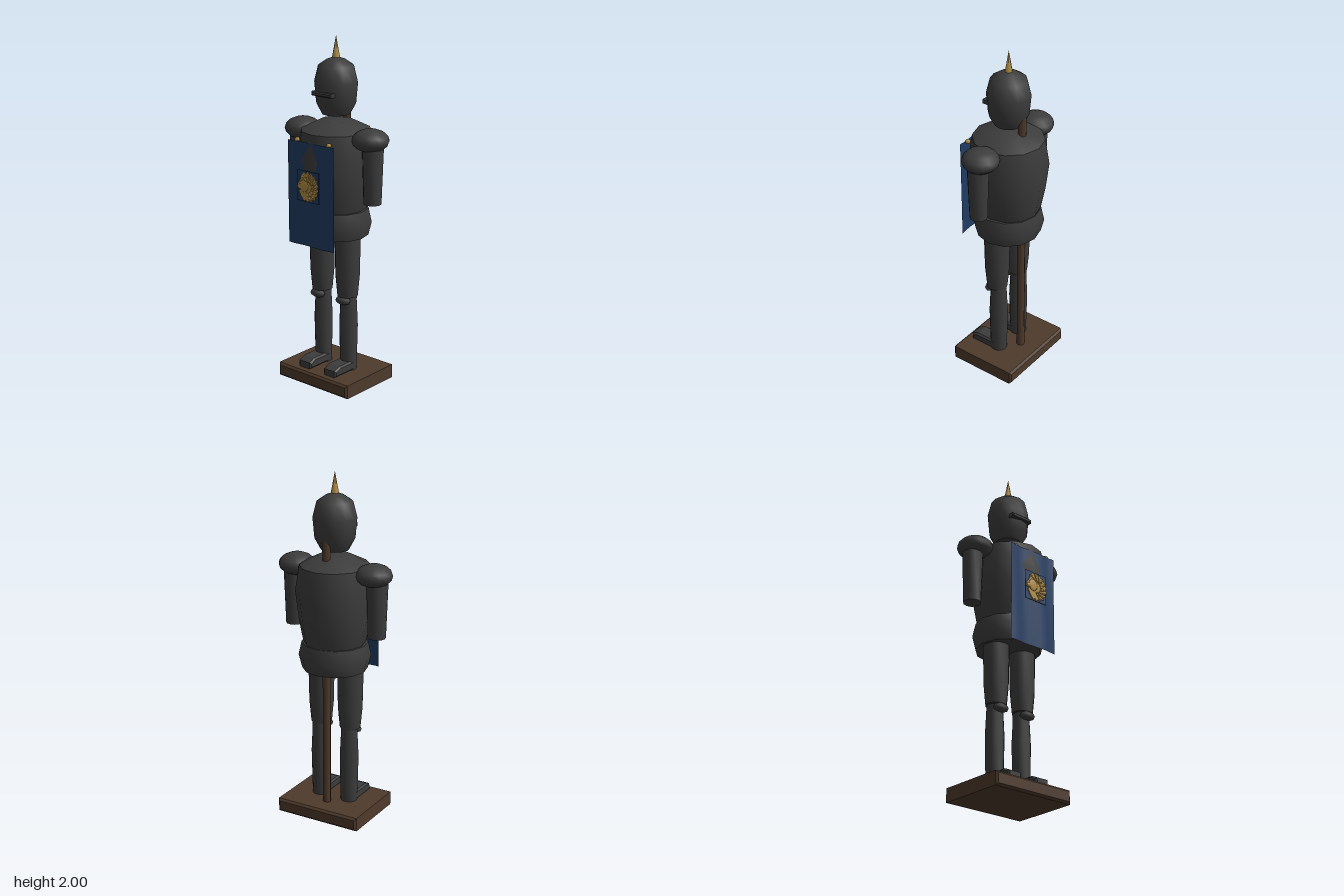
import * as THREE from 'three';
import { toCreasedNormals } from 'three/addons/utils/BufferGeometryUtils.js';

const material = (name, color, side = THREE.FrontSide) => {
  const m = new THREE.MeshStandardMaterial({ color, side });
  m.name = name;
  return m;
};

export function createModel() {
  const steel = material('dark steel', 0x3c3c3c);
  const wood = material('dark wood', 0x4e3a2b);
  const blue = material('blue cloth', 0x1f3c63, THREE.DoubleSide);
  const gold = material('gold', 0xb18d42);

  const model = new THREE.Group();
  model.name = 'suitOfArmour';

  const add = (name, geometry, mat, x = 0, y = 0, z = 0, parent = model) => {
    const mesh = new THREE.Mesh(geometry, mat);
    mesh.name = name;
    mesh.position.set(x, y, z);
    parent.add(mesh);
    return mesh;
  };
  // Turned shape from [radius, y] pairs, listed bottom to top
  const turned = (points, sides = 12, crease = 0.75) =>
    toCreasedNormals(new THREE.LatheGeometry(points.map(([r, y]) => new THREE.Vector2(r, y)), sides), crease);
  const ellipsoid = (rx, ry, rz, w = 16, h = 8) => new THREE.SphereGeometry(1, w, h).scale(rx, ry, rz);
  // Box with chamfered edges, centred on its origin
  const chamferBox = (w, h, d, b) => {
    const s = new THREE.Shape();
    const x = w / 2 - b, y = h / 2 - b;
    s.moveTo(-x, -y).lineTo(x, -y).lineTo(x, y).lineTo(-x, y).closePath();
    return new THREE.ExtrudeGeometry(s, {
      depth: d - 2 * b, bevelEnabled: true, bevelSegments: 1, bevelSize: b, bevelThickness: b,
    }).translate(0, 0, b - d / 2);
  };

  // Stand
  add('base', chamferBox(0.52, 0.08, 0.425, 0.012), wood, 0, 0.04, -0.009);
  add('supportPole', new THREE.CylinderGeometry(0.023, 0.023, 1.68, 8), wood, 0, 0.91, -0.1);

  // Helmet with slit guard and spike
  add('helmet', turned([[0, 1.567], [0.078, 1.567], [0.112, 1.63], [0.122, 1.745], [0.1, 1.835],
    [0.052, 1.868], [0, 1.887]], 12, 0.9), steel, 0, 0, -0.01);
  add('visor', chamferBox(0.14, 0.024, 0.05, 0.006), steel, 0, 1.69, 0.093);
  add('helmetSpike', new THREE.ConeGeometry(0.023, 0.125, 6), gold, 0, 1.938, -0.01);

  // Breastplate and hip skirt
  add('breastplate', turned([[0, 0.98], [0.16, 0.98], [0.185, 1.05], [0.208, 1.17], [0.227, 1.33],
    [0.203, 1.48], [0.09, 1.535], [0, 1.535]], 12, 0.9).scale(0.96, 1, 1), steel, 0, 0, -0.01);
  add('hipSkirt', turned([[0, 0.88], [0.187, 0.88], [0.206, 0.955], [0.188, 1.035], [0, 1.035]])
    .scale(1, 1, 0.97), steel, 0, 0, -0.01);

  // Limbs, mirrored
  const footSide = new THREE.Shape();
  footSide.moveTo(-0.01, 0.09).lineTo(0.148, 0.09).lineTo(0.148, 0.112).lineTo(0.115, 0.127)
    .lineTo(-0.01, 0.127).closePath();
  for (const [label, s] of [['left', 1], ['right', -1]]) {
    const arm = new THREE.Group();
    arm.name = label + 'Arm';
    model.add(arm);
    add('shoulderGuard', ellipsoid(0.104, 0.064, 0.104), steel, s * 0.246, 1.453, -0.01, arm);
    add('armPlate', turned([[0, 1.1], [0.05, 1.1], [0.06, 1.41], [0, 1.43]]), steel, s * 0.266, 0, -0.007, arm);

    const leg = new THREE.Group();
    leg.name = label + 'Leg';
    model.add(leg);
    add('thigh', turned([[0, 0.53], [0.059, 0.53], [0.07, 0.65], [0.075, 0.9], [0, 0.9]]), steel, s * 0.095, 0, 0, leg);
    add('knee', ellipsoid(0.05, 0.025, 0.03, 10, 6), steel, s * 0.095, 0.508, 0.041, leg);
    add('shin', turned([[0, 0.08], [0.048, 0.08], [0.054, 0.35], [0.047, 0.5], [0.047, 0.54], [0, 0.54]]),
      steel, s * 0.095, 0, -0.01, leg);
    const foot = new THREE.ExtrudeGeometry(footSide, {
      depth: 0.074, bevelEnabled: true, bevelSegments: 1, bevelSize: 0.01, bevelThickness: 0.01,
    }).translate(0, 0, -0.037).rotateY(-Math.PI / 2);
    add('foot', foot, steel, s * 0.095, 0, 0, leg);

    add(label + 'ClothPin', ellipsoid(0.016, 0.014, 0.016, 6, 5), gold, s * 0.115, 1.437, 0.182);
  }

  // Hanging cloth with gentle folds
  const cloth = new THREE.PlaneGeometry(0.325, 0.59, 12, 10);
  const p = cloth.attributes.position;
  for (let i = 0; i < p.count; i++) {
    const x = p.getX(i), y = p.getY(i);
    p.setZ(i, 0.005 * Math.sin(x * 32 + 2.2 * y) * Math.min(1, Math.abs(x) * 12));
  }
  cloth.computeVertexNormals();
  add('tabard', cloth, blue, 0, 1.14, 0.2);
  add('emblemBacking', new THREE.BoxGeometry(0.155, 0.175, 0.003), blue, 0, 1.197, 0.223);

  // Beast head emblem: face to one side, ragged mane around the other
  const emblem = new THREE.Group();
  emblem.name = 'emblem';
  emblem.position.set(0, 1.195, 0.2245);
  model.add(emblem);
  const outline = new THREE.Shape();
  outline.moveTo(-0.05, -0.05).lineTo(-0.062, -0.028).lineTo(-0.052, -0.018).lineTo(-0.075, -0.008)
    .lineTo(-0.07, 0.012).lineTo(-0.05, 0.04).lineTo(-0.044, 0.066);
  for (let i = 0; i <= 22; i++) {
    const a = 1.95 - i * 0.175, k = i % 2 ? 0.87 : 1;
    outline.lineTo(Math.cos(a) * 0.077 * k, Math.sin(a) * 0.086 * k);
  }
  outline.closePath();
  add('emblemHead', new THREE.ExtrudeGeometry(outline, { depth: 0.006, bevelEnabled: false }), gold, 0, 0, 0, emblem);
  add('emblemCheek', ellipsoid(0.032, 0.036, 0.006, 10, 6), gold, -0.025, 0.005, 0.006, emblem);
  add('emblemMuzzle', ellipsoid(0.02, 0.013, 0.006, 8, 6), gold, -0.05, -0.002, 0.006, emblem);
  for (let ring = 0; ring < 2; ring++) {
    for (let i = 0; i < 9; i++) {
      const a = 1.9 - i * 0.42 + ring * 0.2, r = 0.04 + ring * 0.02;
      const lock = add('maneLock', ellipsoid(0.015, 0.006, 0.005, 6, 4), gold,
        Math.cos(a) * r, Math.sin(a) * r * 1.08, 0.006, emblem);
      lock.rotation.z = a + 0.4;
    }
  }
  return model;
}
